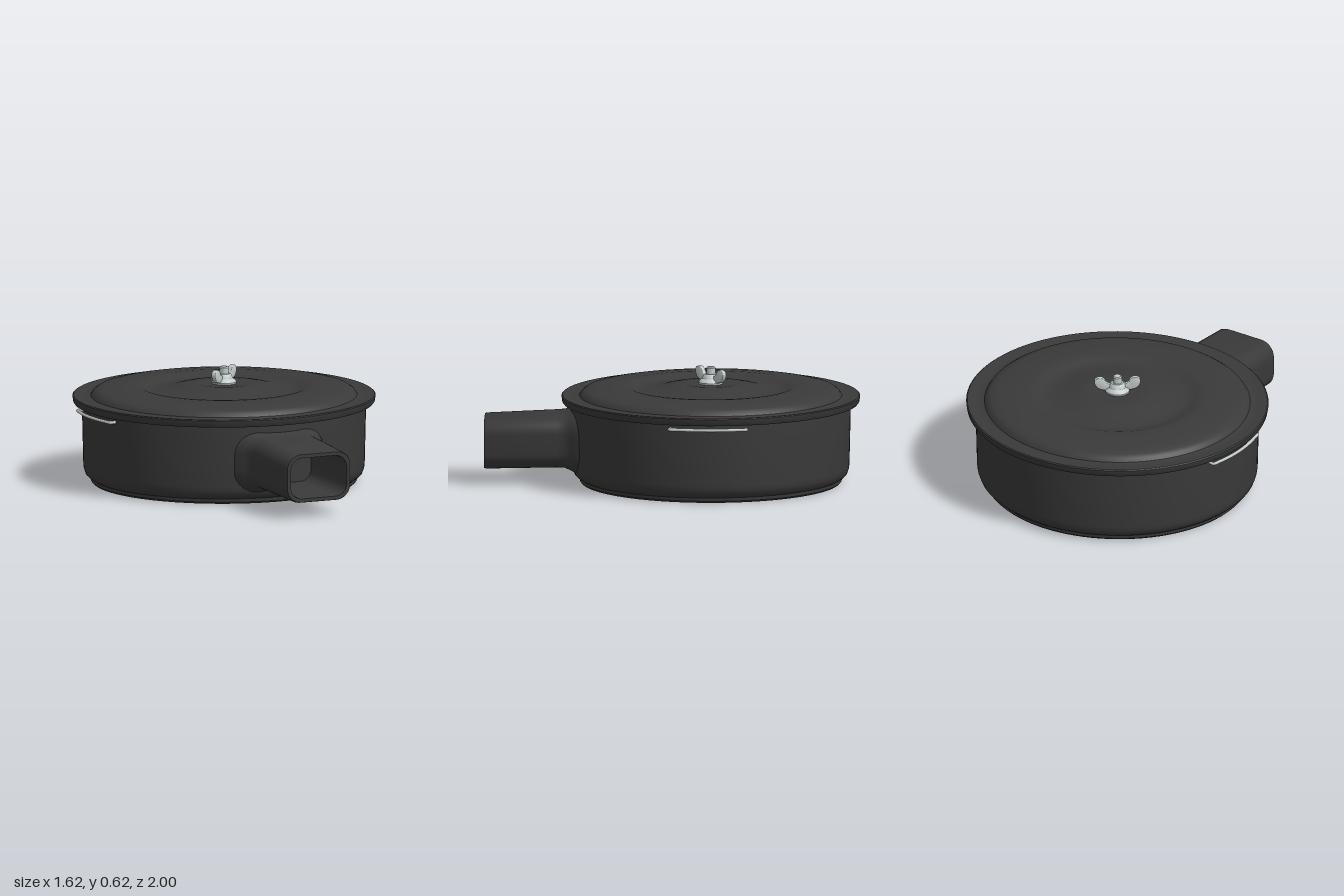
import * as THREE from 'three';
import { toCreasedNormals } from 'three/addons/utils/BufferGeometryUtils.js';

const CZ = -0.205; // pan axis

const dark = new THREE.MeshStandardMaterial({ color: 0x3a3a3a });
dark.name = 'charcoal';
const metal = new THREE.MeshStandardMaterial({ color: 0xc2cac9 });
metal.name = 'bright metal';

function mesh(name, geometry, material) {
  const m = new THREE.Mesh(geometry, material);
  m.name = name;
  return m;
}

function lathe(name, pts, material, segments) {
  const g = new THREE.LatheGeometry(pts.map(p => new THREE.Vector2(p[0], p[1])), segments);
  return mesh(name, toCreasedNormals(g, 0.6), material);
}

// Rounded rectangle outline, counter-clockwise seen from +z
function ring(hw, y0, y1, r, z) {
  const cy = (y0 + y1) / 2, hh = (y1 - y0) / 2, out = [], n = 8;
  [[1, 1], [-1, 1], [-1, -1], [1, -1]].forEach(([sx, sy], q) => {
    for (let i = 0; i <= n; i++) {
      const a = (q + i / n) * Math.PI / 2;
      out.push([sx * (hw - r) + r * Math.cos(a), cy + sy * (hh - r) + r * Math.sin(a), z]);
    }
  });
  return out;
}

// Skin a row of rings, closing the last one with a fan
function loft(rings) {
  const n = rings[0].length, pos = rings.flat(2), idx = [];
  for (let k = 0; k < rings.length - 1; k++) {
    for (let i = 0; i < n; i++) {
      const j = (i + 1) % n, a = k * n + i, b = k * n + j;
      idx.push(a, b, b + n, a, b + n, a + n);
    }
  }
  const last = rings[rings.length - 1], base = (rings.length - 1) * n, c = pos.length / 3;
  pos.push(0, (last[0][1] + last[Math.floor(n / 2)][1]) / 2, last[0][2]);
  for (let i = 0; i < n; i++) idx.push(base + i, base + (i + 1) % n, c);
  const g = new THREE.BufferGeometry();
  g.setAttribute('position', new THREE.Float32BufferAttribute(pos, 3));
  g.setIndex(idx);
  return toCreasedNormals(g, 0.6);
}

export function createModel() {
  const model = new THREE.Group();
  model.name = 'lidded round housing';
  const round = new THREE.Group();
  round.name = 'roundParts';
  round.position.z = CZ;
  round.scale.z = 0.982;
  model.add(round);

  // Pan with a stepped foot
  round.add(lathe('pan', [
    [0, 0], [0.7, 0], [0.71, 0.01], [0.712, 0.028], [0.725, 0.036], [0.74, 0.05],
    [0.749, 0.075], [0.752, 0.1], [0.76, 0.435],
  ], dark, 96));

  // Lid: overhanging rim, raised shoulder, ring-shaped hollow and centre boss
  round.add(lathe('lid', [
    [0.74, 0.43], [0.8, 0.43], [0.806, 0.438], [0.81, 0.466], [0.804, 0.471], [0.76, 0.466],
    [0.725, 0.464], [0.712, 0.468], [0.7, 0.485], [0.68, 0.498], [0.64, 0.506], [0.56, 0.514],
    [0.48, 0.519], [0.45, 0.517], [0.42, 0.507], [0.39, 0.498], [0.36, 0.497], [0.3, 0.506],
    [0.24, 0.52], [0.19, 0.53], [0.15, 0.533], [0.12, 0.53], [0, 0.528],
  ], dark, 96));

  // Hollow intake spout, flared where it meets the pan
  model.add(mesh('spout', loft([
    ring(0.275, 0.05, 0.405, 0.13, 0.46),
    ring(0.25, 0.065, 0.4, 0.12, 0.51),
    ring(0.222, 0.08, 0.385, 0.1, 0.54),
    ring(0.205, 0.092, 0.372, 0.09, 0.57),
    ring(0.2, 0.094, 0.368, 0.085, 0.61),
    ring(0.188, 0.085, 0.35, 0.08, 0.99),
    ring(0.184, 0.088, 0.346, 0.08, 1),
    ring(0.164, 0.107, 0.327, 0.065, 1),
    ring(0.16, 0.111, 0.323, 0.062, 0.98),
    ring(0.157, 0.115, 0.325, 0.06, 0.56),
  ]), dark));

  // Wire bail under the rim on each side
  for (const s of [1, -1]) {
    const pts = [new THREE.Vector3(s * 0.72, 0.405, 0.2)];
    for (let i = 0; i <= 12; i++) {
      const a = 0.268 * (1 - i / 6);
      pts.push(new THREE.Vector3(s * 0.79 * Math.cos(a), 0.405, 0.79 * Math.sin(a)));
    }
    pts.push(new THREE.Vector3(s * 0.72, 0.405, -0.2));
    const curve = new THREE.CatmullRomCurve3(pts);
    round.add(mesh(s > 0 ? 'leftBail' : 'rightBail', new THREE.TubeGeometry(curve, 48, 0.009, 8), metal));
  }

  // Wing nut on a threaded stud
  const nut = new THREE.Group();
  nut.name = 'wingNut';
  nut.position.z = CZ;
  nut.rotation.y = 0.66;
  nut.add(lathe('nutBase', [
    [0.064, 0.525], [0.066, 0.538], [0.06, 0.548], [0.046, 0.558], [0.04, 0.576], [0.034, 0.582], [0, 0.582],
  ], metal, 32));
  nut.add(lathe('stud', [[0.024, 0.57], [0.024, 0.614], [0.019, 0.62], [0, 0.62]], metal, 20));
  const wing = new THREE.Shape();
  wing.moveTo(0.02, 0.545);
  wing.splineThru([[0.06, 0.543], [0.1, 0.555], [0.118, 0.58], [0.115, 0.601], [0.094, 0.61],
    [0.074, 0.601], [0.058, 0.578], [0.02, 0.565]].map(p => new THREE.Vector2(p[0], p[1])));
  wing.closePath();
  const wingGeo = toCreasedNormals(new THREE.ExtrudeGeometry(wing, {
    depth: 0.012, bevelEnabled: true, bevelThickness: 0.007, bevelSize: 0.005, bevelSegments: 3, curveSegments: 24,
  }).translate(0, 0, -0.006), 0.7);
  for (const s of [0, 1]) {
    const w = mesh(s ? 'rightWing' : 'leftWing', wingGeo, metal);
    w.rotation.y = s * Math.PI;
    nut.add(w);
  }
  model.add(nut);
  return model;
}
